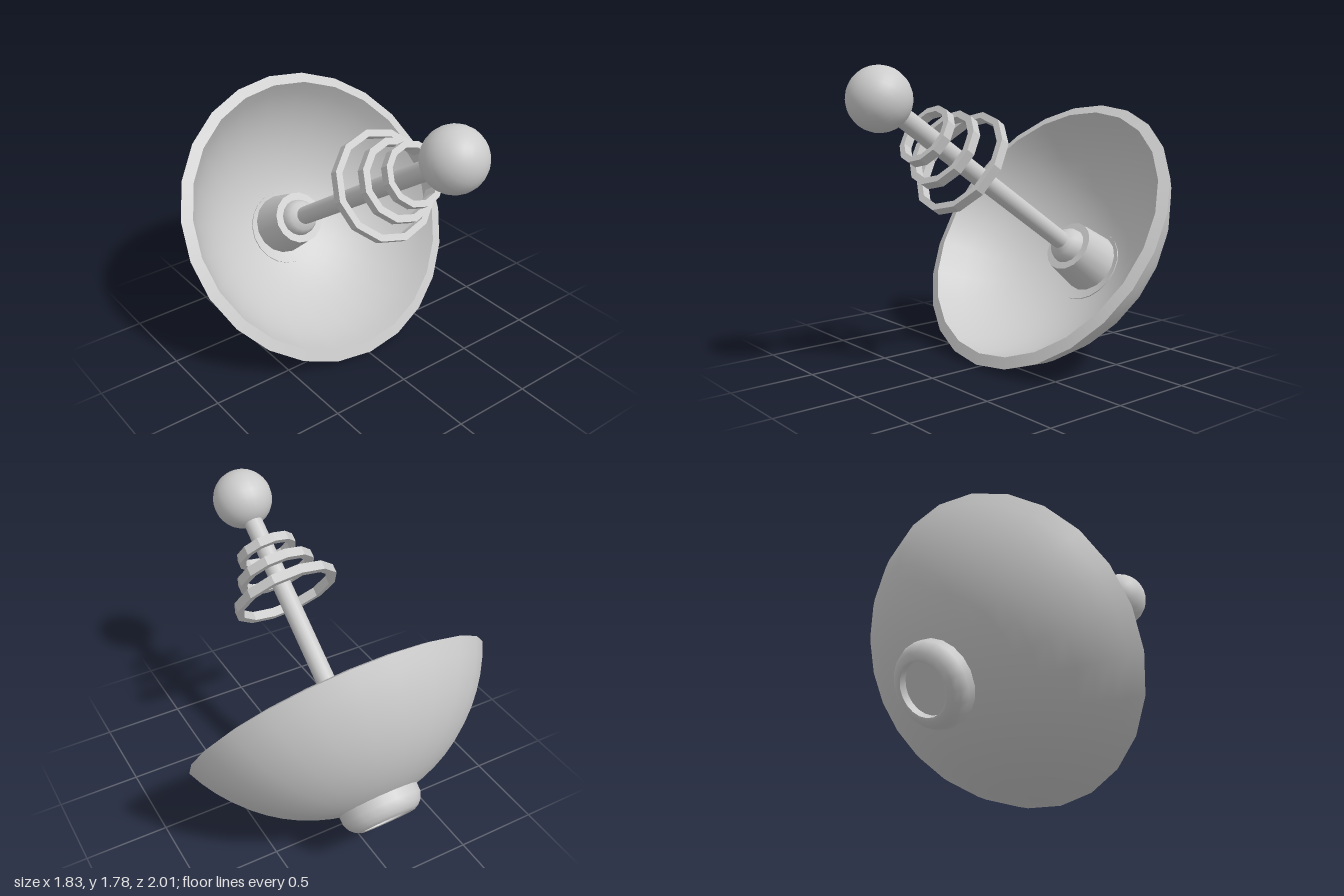
import * as THREE from 'three';
import { mergeGeometries } from 'three/addons/utils/BufferGeometryUtils.js';

const material = new THREE.MeshStandardMaterial({ color: 0xcccccc });
const facetedMaterial = new THREE.MeshStandardMaterial({ color: 0xcccccc, flatShading: true });

// Turned part: each run of [radius, height] points is smooth, with sharp edges between runs.
function turned(name, runs, sides, mat = material) {
  const parts = runs.map(run =>
    new THREE.LatheGeometry(run.map(([r, y]) => new THREE.Vector2(r, y)), sides));
  const mesh = new THREE.Mesh(mergeGeometries(parts), mat);
  mesh.name = name;
  return mesh;
}

// Spherical bowl profile from the apex (axis) out to the rim.
function bowl(rimRadius, rimY, apexY, steps) {
  const sag = rimY - apexY;
  const R = (rimRadius ** 2 + sag ** 2) / (2 * sag);
  const end = Math.acos((R - sag) / R);
  return Array.from({ length: steps + 1 }, (_, i) => {
    const t = end * i / steps;
    return [R * Math.sin(t), apexY + R - R * Math.cos(t)];
  });
}

export function createModel() {
  const model = new THREE.Group();
  model.name = 'dishAntenna';

  // Everything is turned about one axis, tilted forward and up.
  const tilted = new THREE.Group();
  tilted.name = 'tiltedAssembly';
  tilted.rotation.x = THREE.MathUtils.degToRad(55.6);
  tilted.position.set(0, 0.789, -0.339);
  model.add(tilted);

  // Dish: outer shell, bevelled rim, inner shell
  tilted.add(turned('dish', [
    bowl(0.917, 0, -0.59, 12),
    [[0.917, 0], [0.85, 0.02]],
    bowl(0.85, 0.02, -0.52, 12).reverse(),
  ], 24));

  // Rear hub with a rounded edge and a recessed floor
  tilted.add(turned('rearHub', [
    [[0, -0.64], [0.15, -0.64]],
    [[0.15, -0.64], [0.15, -0.685]],
    [[0.15, -0.685], [0.165, -0.69], [0.195, -0.675], [0.222, -0.65], [0.24, -0.61], [0.242, -0.48]],
  ], 20));

  // Feed: parts along the mast
  const feed = new THREE.Group();
  feed.name = 'feed';
  feed.position.z = -0.027;
  tilted.add(feed);

  // Tapered socket and the domed boss the mast grows from
  feed.add(turned('socket', [
    [[0.195, -0.52], [0.165, -0.26]],
    [[0.165, -0.26], [0.118, -0.26]],
  ], 16));
  feed.add(turned('boss', [
    [[0.118, -0.27], [0.112, -0.235], [0.092, -0.2], [0.05, -0.175]],
  ], 16));

  feed.add(turned('mast', [[[0.057, -0.22], [0.057, 1.35]]], 16));

  const ball = new THREE.Mesh(new THREE.SphereGeometry(0.18, 24, 16), material);
  ball.name = 'tipBall';
  ball.position.y = 1.427;
  feed.add(ball);

  // Three floating rings, shrinking toward the tip
  for (const [name, y, outer, inner] of [
    ['largeRing', 0.77, 0.325, 0.285],
    ['middleRing', 0.915, 0.242, 0.2],
    ['smallRing', 1.057, 0.184, 0.147],
  ]) {
    const h = 0.028;
    feed.add(turned(name, [
      [[inner, y - h], [outer, y - h], [outer, y + h], [inner, y + h], [inner, y - h]],
    ], 12, facetedMaterial));
  }

  return model;
}
